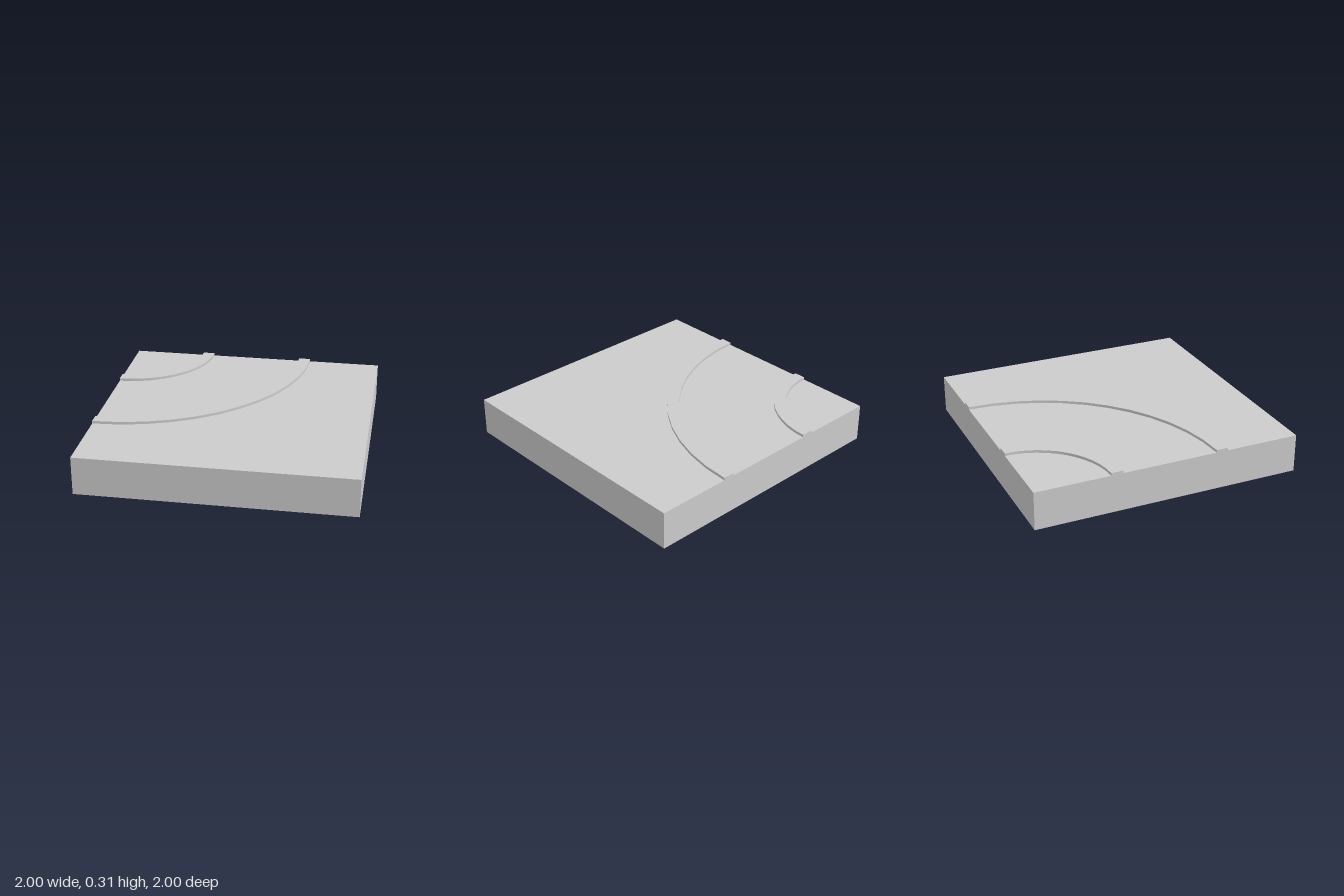
import * as THREE from 'three';
import { toCreasedNormals } from 'three/addons/utils/BufferGeometryUtils.js';

const BASE_HEIGHT = 0.285;
const RAIL_HEIGHT = 0.02;
const RAIL_WIDTH = 0.09;

// Quarter-ring rail, centred on the back right corner of the tile
function createRail(name, radius, material) {
  const inner = radius - RAIL_WIDTH / 2;
  const outer = radius + RAIL_WIDTH / 2;
  const shape = new THREE.Shape();
  shape.absarc(0, 0, outer, -Math.PI / 2, 0, false);
  shape.absarc(0, 0, inner, 0, -Math.PI / 2, true);
  shape.closePath();

  const extruded = new THREE.ExtrudeGeometry(shape, {
    depth: RAIL_HEIGHT,
    bevelEnabled: false,
    curveSegments: 6,
  });
  extruded.rotateX(-Math.PI / 2);

  // Smooth along the curve, sharp at the top edges and ends
  const rail = new THREE.Mesh(toCreasedNormals(extruded, Math.PI / 6), material);
  rail.name = name;
  rail.position.set(-1, BASE_HEIGHT, -1);
  return rail;
}

export function createModel() {
  const group = new THREE.Group();
  group.name = 'curvedTrackTile';
  const material = new THREE.MeshStandardMaterial({ color: 0xcccccc });

  // Square ground slab
  const base = new THREE.Mesh(new THREE.BoxGeometry(2, BASE_HEIGHT, 2), material);
  base.name = 'baseSlab';
  base.position.y = BASE_HEIGHT / 2;
  group.add(base);

  // Two concentric raised rails
  group.add(createRail('innerRail', 0.6, material));
  group.add(createRail('outerRail', 1.4, material));

  return group;
}
